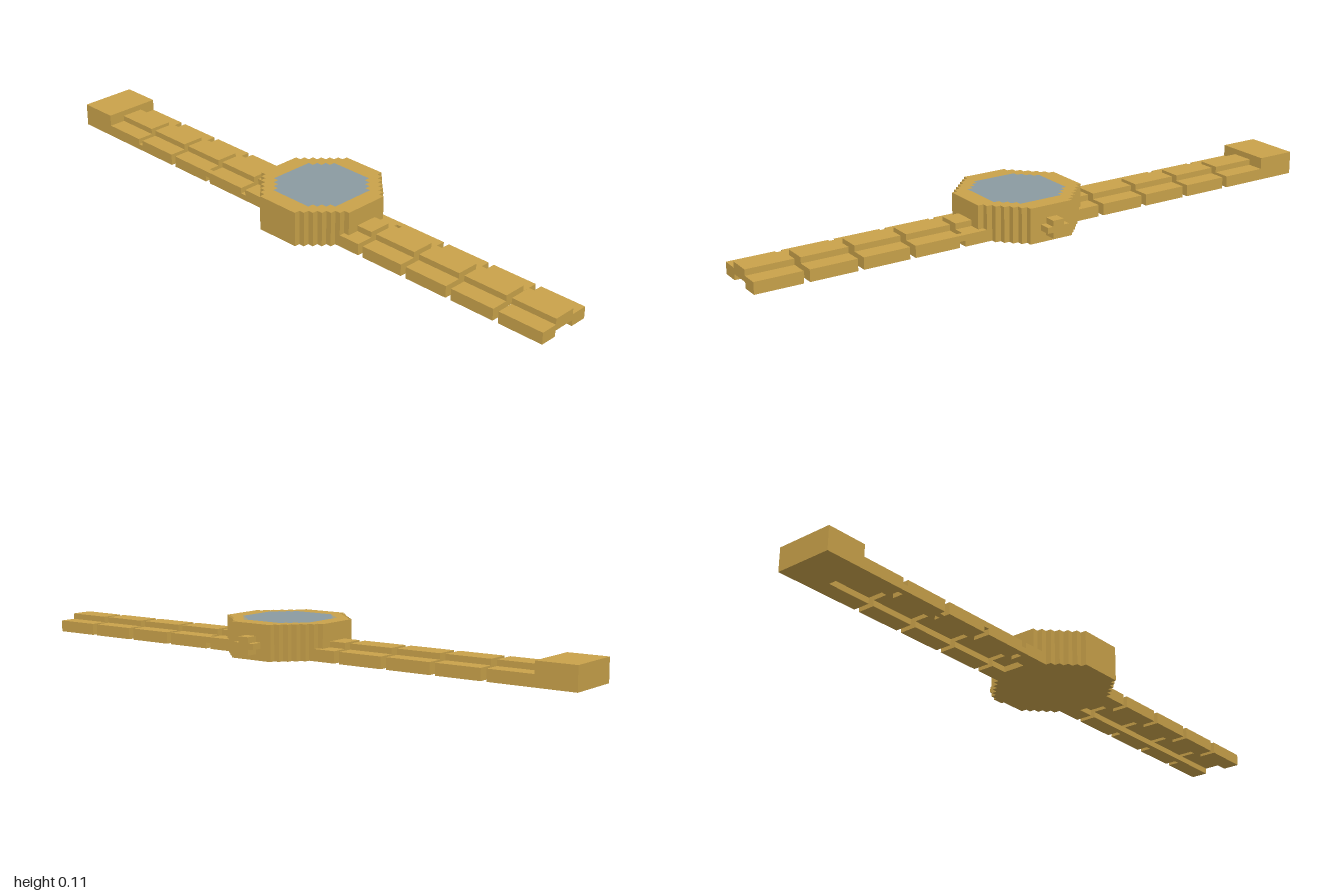
import * as THREE from 'three';

const U = 2 / 105; // one block of the grid
const CX = -1, CZ = 3.5; // centre of the case, in blocks

const gold = new THREE.MeshStandardMaterial({ color: 0xc9a24a });
gold.name = 'gold';
const glass = new THREE.MeshStandardMaterial({ color: 0x8a9ba1 });
glass.name = 'glass';

function add(group, name, geometry, material = gold) {
  const mesh = new THREE.Mesh(geometry, material);
  mesh.name = name;
  group.add(mesh);
  return mesh;
}

// Box given by its limits in blocks
function block(x0, x1, y0, y1, z0, z1) {
  return new THREE.BoxGeometry((x1 - x0) * U, (y1 - y0) * U, (z1 - z0) * U)
    .translate((x0 + x1) / 2 * U, (y0 + y1) / 2 * U, (z0 + z1) / 2 * U);
}

// Octagon outline with stair-stepped diagonals
function steppedOctagon(half, flat) {
  const quarter = [];
  for (let i = 0; i < half - flat; i++) {
    quarter.push([half - i, flat + i], [half - i - 1, flat + i]);
  }
  quarter.push([flat, half]);
  const points = [];
  for (let q = 0; q < 4; q++) {
    for (const [x, y] of quarter) {
      const [a, b] = [[x, y], [-y, x], [-x, -y], [y, -x]][q];
      points.push(new THREE.Vector2(a * U, b * U));
    }
  }
  return points;
}

// Upright slab of an outline between two heights
function slab(outline, y0, y1, hole) {
  const shape = new THREE.Shape(outline);
  if (hole) shape.holes.push(new THREE.Path(hole));
  return new THREE.ExtrudeGeometry(shape, { depth: (y1 - y0) * U, bevelEnabled: false })
    .rotateX(-Math.PI / 2)
    .translate(CX * U, y0 * U, CZ * U);
}

// Strap link: two low rails with a raised middle
const LINK = [[-6, 0], [-3, 0], [-3, 1], [1, 1], [1, 0], [4, 0], [4, 2], [1, 2], [1, 3], [-3, 3], [-3, 2], [-6, 2]];
function link(z0, z1) {
  const shape = new THREE.Shape(LINK.map(([x, y]) => new THREE.Vector2(x * U, y * U)));
  return new THREE.ExtrudeGeometry(shape, { depth: (z1 - z0) * U, bevelEnabled: false })
    .translate(0, 0, z0 * U);
}

export function createModel() {
  const model = new THREE.Group();
  model.name = 'wristwatch';

  // Case, rim and flush glass
  const outer = steppedOctagon(10, 4);
  const inner = steppedOctagon(7, 4);
  add(model, 'caseBody', slab(outer, 0, 5));
  add(model, 'caseRim', slab(outer, 5, 6, inner));
  add(model, 'dialGlass', slab(inner, 5, 6), glass);

  // Cross-shaped crown on the side
  const crown = new THREE.Group();
  crown.name = 'crown';
  add(crown, 'crownUpright', block(9, 11, 1, 4, CZ - 1, CZ + 1));
  for (const s of [-1.5, 1.5]) {
    add(crown, 'crownArm', block(9, 11, 2, 3, CZ + s - 0.5, CZ + s + 0.5));
  }
  model.add(crown);

  // Strap links on both ends
  const strap = new THREE.Group();
  strap.name = 'strap';
  for (let i = 0; i < 5; i++) {
    add(strap, 'frontLink', link(8.5 + 9 * i, 16.5 + 9 * i));
    add(strap, 'backLink', link(-9.5 - 9 * i, -1.5 - 9 * i));
  }

  // Single-block pins across the gaps: x, y, z
  const pins = [
    [3, 1, 16.5], [1, 0, 25.5], [1, 0, 34.5], [1, 0, 43.5],
    [-6, 0, -10.5], [-6, 1, -19.5], [-5, 0, -28.5], [-6, 0, -37.5],
  ];
  for (const [x, y, z] of pins) {
    add(strap, 'linkPin', block(x, x + 1, y, y + 1, z, z + 1));
  }
  model.add(strap);

  // Clasp at the far end
  add(model, 'clasp', block(-6, 4, 0, 4, -52.5, -45.5));

  return model;
}
